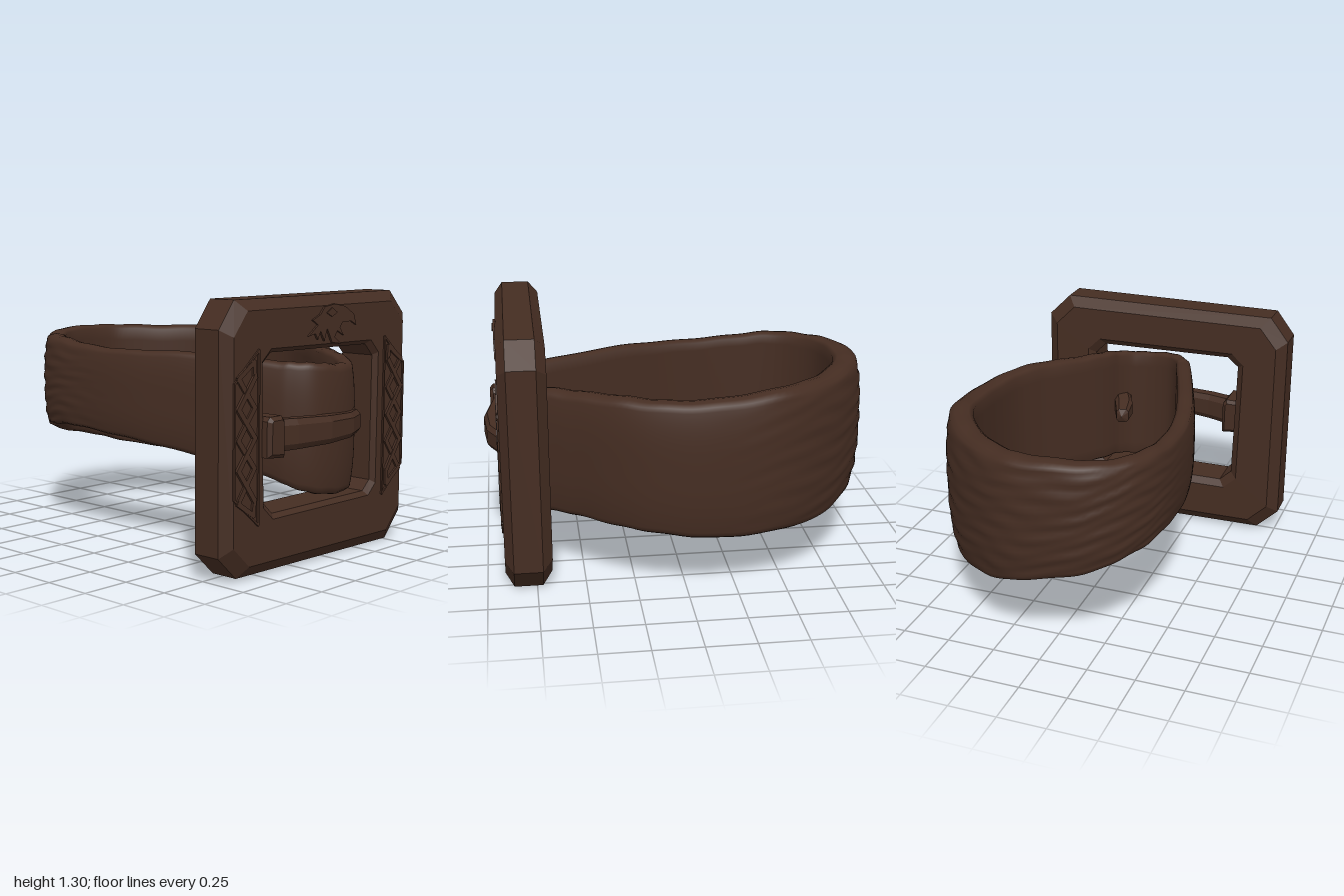
import * as THREE from 'three';

const leather = new THREE.MeshStandardMaterial({ color: 0x452d22 });
leather.name = 'dark brown';

function add(group, name, geometry) {
  const mesh = new THREE.Mesh(geometry, leather);
  mesh.name = name;
  group.add(mesh);
  return mesh;
}

// Skin a row of cross-sections, each a closed loop of [x, y, z] points
function skin(sections, closed, flat) {
  const n = sections.length, m = sections[0].length, index = [];
  for (let i = 0; i < (closed ? n : n - 1); i++) {
    for (let j = 0; j < m; j++) {
      const k = ((i + 1) % n) * m, j2 = (j + 1) % m;
      const a = i * m + j, b = k + j, c = i * m + j2, d = k + j2;
      index.push(a, c, b, b, c, d);
    }
  }
  let g = new THREE.BufferGeometry();
  g.setAttribute('position', new THREE.Float32BufferAttribute(sections.flat(2), 3));
  g.setIndex(index);
  if (flat) g = g.toNonIndexed();
  g.computeVertexNormals();
  return g;
}

// Chamfered square frame with a chamfered opening
function frameGeometry() {
  const outer = [[-0.65, 0.015], [-0.77, 0.13], [-0.77, 1.17], [-0.67, 1.3],
    [0.52, 1.3], [0.64, 1.18], [0.64, 0.13], [0.52, 0]];
  const inner = [[-0.42, 0.29], [-0.485, 0.35], [-0.5, 1.0], [-0.44, 1.05],
    [0.29, 1.04], [0.35, 0.98], [0.345, 0.34], [0.29, 0.29]];
  const profile = [[0, 0.72], [0, 0.865], [0.2, 0.908], [0.92, 0.908],
    [1, 0.885], [1, 0.7], [0.87, 0.67], [0.2, 0.67]];
  return skin(outer.map(([x, y], i) => profile.map(([f, z]) =>
    [x + (inner[i][0] - x) * f, y + (inner[i][1] - y) * f, z])), true, true);
}

// Closed strap loop: x, z, bottom, top, thickness at each station
function strapGeometry() {
  const stations = [
    [-0.2, 0.67, 0.4, 0.98, 0.1], [-0.35, 0.22, 0.49, 1.0, 0.1],
    [-0.43, -0.1, 0.54, 1.0, 0.1], [-0.45, -0.4, 0.56, 1.01, 0.1],
    [-0.42, -0.62, 0.55, 1.03, 0.11], [-0.33, -0.78, 0.52, 1.04, 0.12],
    [-0.17, -0.89, 0.46, 1.05, 0.13], [0.08, -0.925, 0.4, 1.05, 0.15],
    [0.27, -0.87, 0.35, 1.05, 0.15], [0.5, -0.69, 0.3, 1.04, 0.15],
    [0.66, -0.45, 0.3, 1.04, 0.15], [0.7, -0.15, 0.3, 1.02, 0.15],
    [0.67, 0.12, 0.32, 1.01, 0.14], [0.58, 0.32, 0.33, 1.01, 0.14],
    [0.43, 0.52, 0.34, 1.0, 0.13], [0.32, 0.67, 0.33, 0.99, 0.11],
    [0.26, 0.78, 0.32, 0.97, 0.1], [0.17, 0.855, 0.31, 0.96, 0.09],
    [0.04, 0.88, 0.31, 0.96, 0.09], [-0.08, 0.855, 0.325, 0.97, 0.09],
    [-0.155, 0.78, 0.36, 0.98, 0.09]];
  const curve = (k) => new THREE.CatmullRomCurve3(
    stations.map((s) => new THREE.Vector3(s[0], s[k], s[1])), true, 'catmullrom');
  const low = curve(2), high = curve(3), thick = curve(4);
  const loop = [], rows = 30;
  for (let r = 0; r <= rows; r++) {
    const v = 0.03 + 0.94 * r / rows;
    loop.push([1 - 0.45 * Math.abs(2 * v - 1) ** 3, v]);
  }
  loop.push([0.25, 0.992], [-0.2, 1], [-0.7, 0.99]);
  for (let r = 0; r <= 10; r++) loop.push([-1, 0.97 - 0.094 * r]);
  loop.push([-0.7, 0.01], [-0.2, 0], [0.25, 0.008]);

  const sections = [], steps = 150;
  for (let i = 0; i < steps; i++) {
    const u = i / steps, a = u * Math.PI * 2;
    const p = low.getPoint(u), top = high.getPoint(u).y, th = thick.getPoint(u).y / 2;
    const t = thick.getTangent(u).setY(0).normalize();
    const wobble = 0.003 * Math.sin(a * 7) + 0.002 * Math.sin(a * 23 + 1);
    const back = THREE.MathUtils.smoothstep(-p.z, 0.1, 0.8);
    sections.push(loop.map(([o, v]) => {
      // Leather creases run along the outer back
      const crease = o > 0.6 ? 0.005 * back *
        Math.sin(v * 46 + 2 * Math.sin(a * 4) + Math.sin(a * 9 + v * 6)) *
        Math.sin(v * 11 + a * 8) : 0;
      const d = o * th + crease;
      return [p.x + t.z * d, p.y + (top - p.y) * v + wobble, p.z - t.x * d];
    }));
  }
  return skin(sections, true, false);
}

// Arched tongue that bends back through the strap: x, z, half height, half thickness
function prongGeometry() {
  const path = [[-0.46, 0.86, 0.078, 0.045], [-0.3, 0.91, 0.074, 0.045],
    [-0.1, 0.945, 0.068, 0.045], [0.08, 0.93, 0.062, 0.045], [0.19, 0.88, 0.06, 0.048],
    [0.22, 0.79, 0.058, 0.05], [0.17, 0.68, 0.055, 0.05], [0.14, 0.57, 0.04, 0.035]];
  const sections = path.map(([x, z, h, w], i) => {
    const p = path[Math.max(i - 1, 0)], q = path[Math.min(i + 1, path.length - 1)];
    const t = new THREE.Vector2(q[0] - p[0], q[1] - p[1]).normalize();
    return [[1, 0.6], [1, -0.6], [0.6, -1], [-0.6, -1], [-1, -0.6], [-1, 0.6], [-0.6, 1], [0.6, 1]]
      .map(([n, y]) => [x - t.y * n * w, 0.66 + y * h, z + t.x * n * w]);
  });
  const cap = ([x, z], dz) => Array.from({ length: 8 }, () => [x, 0.66, z + dz]);
  return skin([cap(path[0], 0), ...sections, cap(path[7], -0.02)], false, true);
}

// Flat outline raised to a given depth
function relief(points, depth, bevel = 0) {
  const shape = new THREE.Shape(points.map(([x, y]) => new THREE.Vector2(x, y)));
  return new THREE.ExtrudeGeometry(shape, {
    depth, bevelEnabled: bevel > 0, bevelSize: bevel, bevelThickness: bevel,
    bevelOffset: -bevel, bevelSegments: 1,
  });
}

// Thin raised band following a polyline on the frame's front
function band(group, name, points, width, height) {
  for (let i = 0; i < points.length - 1; i++) {
    const [x1, y1] = points[i], [x2, y2] = points[i + 1];
    const length = Math.hypot(x2 - x1, y2 - y1) + width * 0.6;
    const m = add(group, name, new THREE.BoxGeometry(length, width, height));
    m.position.set((x1 + x2) / 2, (y1 + y2) / 2, 0.907 + height / 2);
    m.rotation.z = Math.atan2(y2 - y1, x2 - x1);
  }
}

// Interlaced carving on one upright of the frame
function knotPanel(mirror) {
  const g = new THREE.Group();
  g.name = mirror ? 'leftKnotPanel' : 'rightKnotPanel';
  const place = (pts) => pts.map(([x, y]) => [mirror ? -0.13 - x : x, y]);
  band(g, 'panelBorder', place([[-0.715, 0.4], [-0.715, 0.93], [-0.55, 1.07],
    [-0.55, 0.26], [-0.715, 0.4]]), 0.01, 0.009);
  const levels = [0.38, 0.53, 0.67, 0.81, 0.95];
  for (const side of [0, 1]) {
    const strand = levels.map((y, i) => [(i + side) % 2 ? -0.58 : -0.69, y]);
    band(g, 'knotStrand', place(strand), 0.026, side ? 0.013 : 0.01);
  }
  for (const [y, tip] of [[0.95, 1.02], [0.38, 0.31]]) {
    band(g, 'knotEnd', place([[-0.69, y], [-0.585, tip], [-0.58, y]]), 0.024, 0.011);
  }
  return g;
}

export function createModel() {
  const model = new THREE.Group();
  model.name = 'buckledStrap';

  add(model, 'buckleFrame', frameGeometry());
  add(model, 'strap', strapGeometry());
  add(model, 'prong', prongGeometry());

  // Collar that holds the prong on the inner edge of the frame
  const collar = add(model, 'prongCollar', relief(
    [[-0.52, 0.57], [-0.4, 0.56], [-0.4, 0.735], [-0.42, 0.76], [-0.5, 0.76], [-0.52, 0.74]],
    0.16, 0.018));
  collar.position.z = 0.778;

  // Worn rim around the hole the prong enters
  const eyelet = add(model, 'strapEyelet', new THREE.TorusGeometry(0.065, 0.014, 6, 20));
  eyelet.position.set(0.215, 0.66, 0.87);
  eyelet.rotation.y = 0.65;

  // Carved ornament on the frame
  model.add(knotPanel(false), knotPanel(true));
  const bird = add(model, 'birdHeadRelief', relief([
    [-0.2, 1.11], [-0.13, 1.16], [-0.17, 1.185], [-0.11, 1.21], [-0.08, 1.245], [0, 1.255],
    [0.08, 1.24], [0.15, 1.2], [0.17, 1.145], [0.13, 1.165], [0.06, 1.165], [0.04, 1.14],
    [0.07, 1.1], [0.02, 1.125], [0, 1.095], [0.05, 1.06], [-0.02, 1.07], [-0.06, 1.14],
    [-0.08, 1.08], [-0.11, 1.13], [-0.13, 1.09], [-0.15, 1.12]], 0.03));
  bird.position.z = 0.888;
  const eye = add(model, 'birdEye', relief(
    [[-0.07, 1.215], [-0.03, 1.195], [0.01, 1.215], [-0.03, 1.238]], 0.009));
  eye.position.z = 0.916;

  return model;
}
